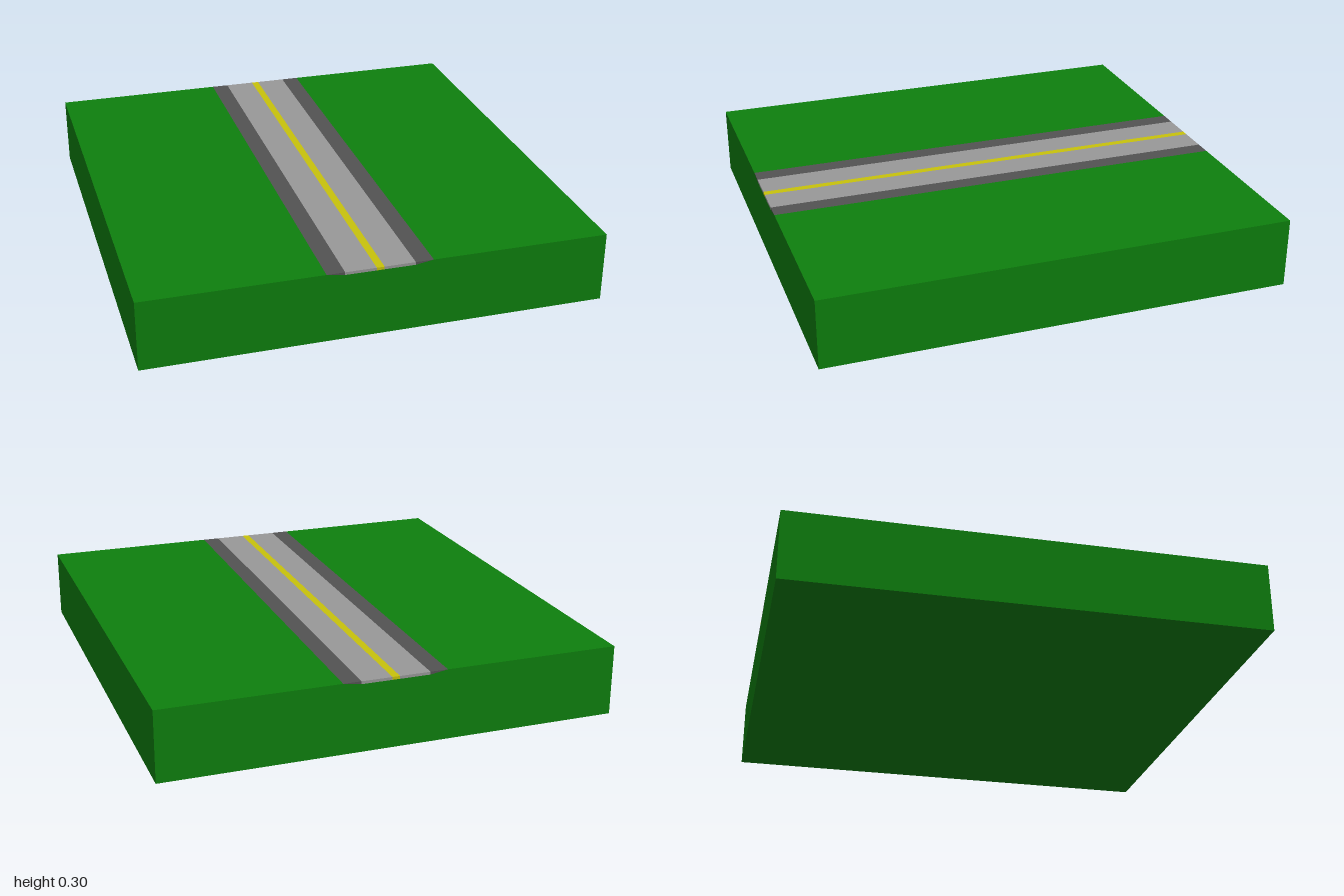
import * as THREE from 'three';

const LENGTH = 2, HALF = 0.967, TOP = 0.3, BED = 0.288;

function material(name, color) {
  const m = new THREE.MeshStandardMaterial({ color });
  m.name = name;
  return m;
}

// Sweeps a front-facing outline along the whole length of the tile
function strip(name, points, mat) {
  const shape = new THREE.Shape(points.map(([x, y]) => new THREE.Vector2(x, y)));
  const geometry = new THREE.ExtrudeGeometry(shape, { depth: LENGTH, bevelEnabled: false });
  geometry.translate(0, 0, -LENGTH / 2);
  const mesh = new THREE.Mesh(geometry, mat);
  mesh.name = name;
  return mesh;
}

export function createModel() {
  const grass = material('grass green', 0x0e800e);
  const asphalt = material('asphalt grey', 0x989898);
  const gravel = material('shoulder grey', 0x535353);
  const paint = material('line yellow', 0xc8c20c);

  const group = new THREE.Group();
  group.name = 'roadTile';

  // Ground block with a shallow bed for the road
  group.add(strip('ground', [
    [-HALF, 0], [HALF, 0], [HALF, TOP], [0.22, TOP], [0.145, BED],
    [-0.145, BED], [-0.22, TOP], [-HALF, TOP],
  ], grass));

  // Wedge-shaped shoulders and the two lanes, flush with the grass
  for (const [side, label] of [[1, 'left'], [-1, 'right']]) {
    group.add(strip(label + 'Shoulder',
      [[0.145 * side, BED], [0.22 * side, TOP], [0.145 * side, TOP]], gravel));
    group.add(strip(label + 'Lane', [
      [0.016 * side, BED], [0.145 * side, BED], [0.145 * side, TOP], [0.016 * side, TOP],
    ], asphalt));
  }

  // Centre line set between the lanes
  group.add(strip('centreLine',
    [[-0.016, BED], [0.016, BED], [0.016, TOP], [-0.016, TOP]], paint));

  return group;
}
